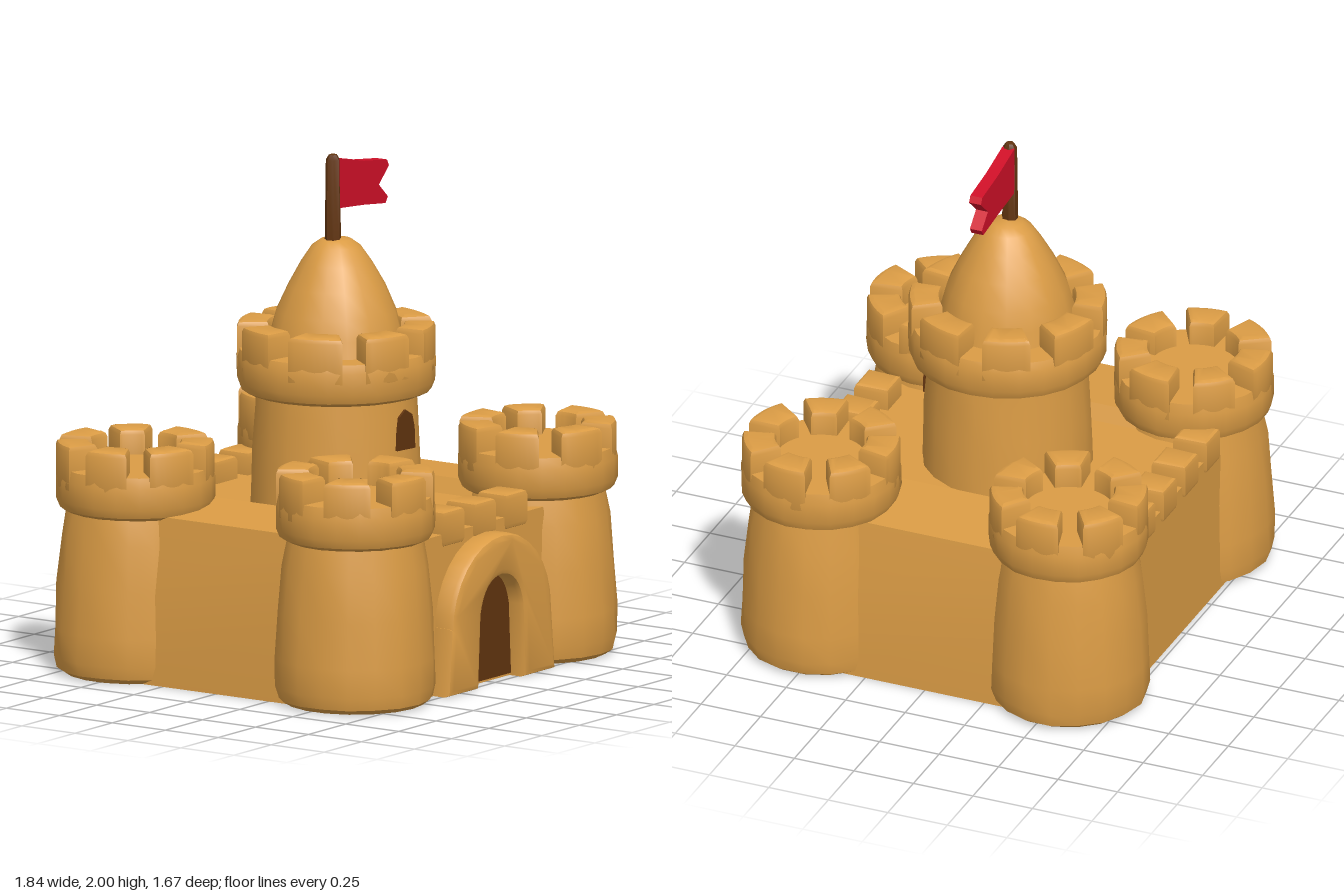
import * as THREE from 'three';
import { toCreasedNormals } from 'three/addons/utils/BufferGeometryUtils.js';

function material(name, color) {
  const m = new THREE.MeshStandardMaterial({ color });
  m.name = name;
  return m;
}

export function createModel() {
  const sand = material('sand', 0xdb9c45);
  const darkWood = material('dark wood', 0x61340f);
  const red = material('flag red', 0xd01028);
  const model = new THREE.Group();
  model.name = 'sandcastle';

  // Gentle hand-shaped unevenness, driven by position so that seams stay closed
  function lumpy(geo, amount, seed) {
    const p = geo.attributes.position;
    for (let i = 0; i < p.count; i++) {
      const x = p.getX(i), y = p.getY(i), z = p.getZ(i);
      if (y < 0.01) continue;
      const k = 1 + amount * Math.sin(x * 19 + y * 11 + seed) * Math.cos(z * 23 - y * 9 + seed * 2);
      p.setXYZ(i, x * k, y, z * k);
    }
    return geo;
  }

  function add(parent, name, geo, mat, crease = 0.6) {
    const mesh = new THREE.Mesh(toCreasedNormals(geo, crease), mat);
    mesh.name = name;
    parent.add(mesh);
    return mesh;
  }

  function lathe(profile, segments, seed, amount = 0.018) {
    const pts = profile.map(([r, y]) => new THREE.Vector2(r, y));
    return lumpy(new THREE.LatheGeometry(pts, segments), amount, seed);
  }

  function polygon(points) {
    return new THREE.Shape(points.map(([x, y]) => new THREE.Vector2(x, y)));
  }

  // Ring of bevelled merlons; gapAngle is measured from the front towards +x
  function addMerlons(parent, count, gapAngle, gapWidth, inner, outer, y0, y1) {
    const step = (Math.PI * 2) / count;
    const bevel = 0.022;
    for (let i = 0; i < count; i++) {
      const mid = -Math.PI / 2 + gapAngle + (i + 0.5) * step;
      const half = (step - gapWidth) / 2 + 0.02 * Math.sin(i * 2.3 + gapAngle * 5);
      const shape = new THREE.Shape();
      shape.absarc(0, 0, outer, mid - half, mid + half, false);
      shape.absarc(0, 0, inner, mid + half, mid - half, true);
      const geo = new THREE.ExtrudeGeometry(shape, {
        depth: y1 - y0 - bevel * 2, curveSegments: 4, bevelSize: bevel,
        bevelOffset: -bevel, bevelThickness: bevel, bevelSegments: 2,
      });
      geo.rotateX(-Math.PI / 2).translate(0, y0 + bevel, 0);
      add(parent, 'merlon', geo, sand);
    }
  }

  // Box narrowed towards its top
  function taperedBox(w, h, d, topW, topD) {
    const geo = new THREE.BoxGeometry(w, h, d).translate(0, h / 2, 0);
    const p = geo.attributes.position;
    for (let i = 0; i < p.count; i++) {
      if (p.getY(i) > h / 2) {
        p.setX(i, (p.getX(i) * topW) / w);
        p.setZ(i, (p.getZ(i) * topD) / d);
      }
    }
    return geo;
  }

  // Main block: raised side walls and a lower courtyard between them
  const walls = polygon([
    [-0.81, 0], [0.81, 0], [0.80, 0.35], [0.755, 0.655], [0.42, 0.68],
    [0.39, 0.62], [-0.39, 0.62], [-0.42, 0.68], [-0.755, 0.655], [-0.80, 0.35],
  ]);
  const wallGeo = new THREE.ExtrudeGeometry(walls, { depth: 1.0, bevelEnabled: false });
  add(model, 'sideWalls', wallGeo.translate(0, 0, -0.5), sand, 0.3);
  add(model, 'frontAndBackWalls', taperedBox(1.1, 0.62, 1.44, 0.8, 1.41), sand, 0.3)
    .position.z = -0.01;

  // Wall merlons: three at the front, four at the back
  function addWallMerlons(name, xs, z) {
    const shape = polygon([[-0.065, -0.065], [0.065, -0.065], [0.06, 0.065], [-0.06, 0.065]]);
    for (const x of xs) {
      const geo = new THREE.ExtrudeGeometry(shape, {
        depth: 0.1, bevelSize: 0.015, bevelOffset: -0.01, bevelThickness: 0.02, bevelSegments: 2,
      });
      geo.rotateX(-Math.PI / 2).translate(x, 0.59, z);
      add(model, name, geo, sand);
    }
  }
  addWallMerlons('frontWallMerlon', [-0.21, 0, 0.21], 0.635);
  addWallMerlons('backWallMerlon', [-0.315, -0.105, 0.105, 0.315], -0.66);

  // Four corner towers
  const towerBody = [
    [0, 0], [0.27, 0], [0.3, 0.02], [0.312, 0.07], [0.31, 0.18],
    [0.3, 0.36], [0.283, 0.54], [0.262, 0.66], [0, 0.66],
  ];
  const towerCap = [
    [0, 0.64], [0.265, 0.64], [0.295, 0.655], [0.31, 0.69],
    [0.31, 0.77], [0.3, 0.815], [0, 0.815],
  ];
  let seed = 1;
  for (const sx of [-1, 1]) {
    for (const sz of [-1, 1]) {
      const tower = new THREE.Group();
      tower.name = (sz > 0 ? 'front' : 'back') + (sx > 0 ? 'Left' : 'Right') + 'Tower';
      tower.position.set(sx * 0.61, 0, sz * 0.52);
      add(tower, 'towerBody', lathe(towerBody, 18, seed), sand);
      add(tower, 'towerCap', lathe(towerCap, 21, seed + 3, 0.01), sand);
      const gap = sz > 0 ? (sx > 0 ? 0.12 : 0.28) : (sx > 0 ? 0.2 : 0.0);
      addMerlons(tower, 7, gap, 0.3, 0.175, 0.306, 0.72, 0.915);
      model.add(tower);
      seed += 2;
    }
  }

  // Central keep with cap, merlons and dome
  const keep = new THREE.Group();
  keep.name = 'keep';
  add(keep, 'keepBody', lathe(
    [[0.335, 0.5], [0.33, 0.68], [0.325, 0.85], [0.315, 1.0], [0.31, 1.1], [0, 1.1]], 20, 4, 0.01), sand);
  add(keep, 'keepCap', lathe([
    [0, 1.065], [0.34, 1.065], [0.37, 1.08], [0.385, 1.115],
    [0.387, 1.2], [0.375, 1.235], [0, 1.235],
  ], 24, 7, 0.01), sand);
  addMerlons(keep, 8, 0, 0.25, 0.26, 0.383, 1.14, 1.34);
  add(keep, 'dome', lathe([
    [0.275, 1.2], [0.255, 1.3], [0.235, 1.38], [0.19, 1.48], [0.14, 1.57],
    [0.095, 1.635], [0.06, 1.66], [0, 1.67],
  ], 16, 2, 0.012), sand, 0.7);
  model.add(keep);

  // Window plate on the keep
  const windowShape = polygon([
    [-0.055, 0.87], [0.065, 0.865], [0.06, 0.95], [0.045, 1.0], [0.0, 1.025], [-0.04, 1.0], [-0.05, 0.95],
  ]);
  const windowGeo = new THREE.ExtrudeGeometry(windowShape, { depth: 0.009, bevelEnabled: false });
  add(model, 'window', windowGeo.translate(0, 0, 0.319), darkWood);

  // Gate: raised arch around a recessed door
  const arch = new THREE.Shape();
  arch.moveTo(-0.345, 0);
  arch.lineTo(-0.325, 0.24);
  arch.absarc(0, 0.24, 0.322, Math.PI, 0, true);
  arch.lineTo(0.345, 0);
  arch.lineTo(0.165, 0);
  arch.lineTo(0.15, 0.28);
  arch.quadraticCurveTo(0.12, 0.42, 0, 0.425);
  arch.quadraticCurveTo(-0.12, 0.42, -0.15, 0.28);
  arch.lineTo(-0.165, 0);
  const archGeo = new THREE.ExtrudeGeometry(arch, {
    depth: 0.08, curveSegments: 8, bevelSize: 0.025, bevelOffset: -0.012,
    bevelThickness: 0.025, bevelSegments: 2,
  });
  add(model, 'gateArch', archGeo.translate(0, 0.013, 0.685), sand);

  const door = new THREE.Shape();
  door.moveTo(-0.2, 0.01);
  door.lineTo(0.2, 0.01);
  door.lineTo(0.18, 0.3);
  door.quadraticCurveTo(0.13, 0.46, 0, 0.46);
  door.quadraticCurveTo(-0.13, 0.46, -0.18, 0.3);
  const doorGeo = new THREE.ExtrudeGeometry(door, { depth: 0.009, curveSegments: 8, bevelEnabled: false });
  add(model, 'door', doorGeo.translate(0, 0, 0.709), darkWood);

  // Flag pole and notched flag
  const pole = new THREE.LatheGeometry(
    [[0, 1.6], [0.033, 1.6], [0.028, 1.975], [0.016, 1.995], [0, 2.0]].map(([r, y]) => new THREE.Vector2(r, y)), 7);
  add(model, 'flagPole', pole.translate(-0.022, 0, 0), darkWood);
  const flag = polygon([
    [-0.01, 1.785], [0.15, 1.772], [0.295, 1.755], [0.31, 1.78], [0.25, 1.835],
    [0.318, 1.9], [0.305, 1.925], [0.15, 1.945], [-0.01, 1.98],
  ]);
  const flagGeo = new THREE.ExtrudeGeometry(flag, { depth: 0.05, bevelEnabled: false });
  add(model, 'flag', flagGeo.translate(0, 0, -0.025), red);

  return model;
}
